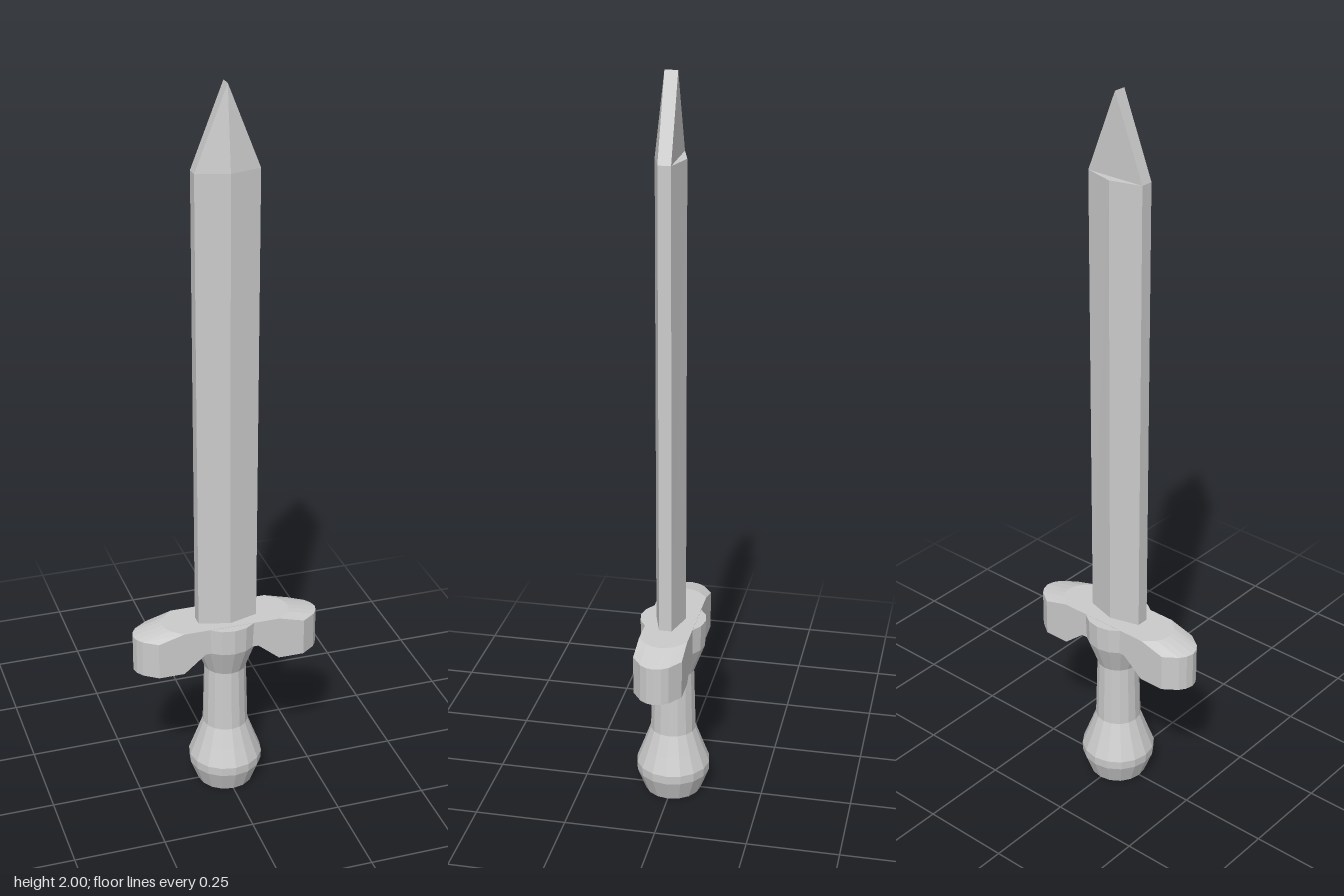
import * as THREE from 'three';

const grey = new THREE.MeshStandardMaterial({ color: 0xcccccc, flatShading: true });

// Mesh from flat polygons, each a convex list of [x, y, z] corners
function polyMesh(name, polys) {
  const pos = [];
  for (const p of polys) {
    for (let i = 1; i < p.length - 1; i++) pos.push(...p[0], ...p[i], ...p[i + 1]);
  }
  const geo = new THREE.BufferGeometry();
  geo.setAttribute('position', new THREE.Float32BufferAttribute(pos, 3));
  geo.computeVertexNormals();
  const mesh = new THREE.Mesh(geo, grey);
  mesh.name = name;
  return mesh;
}

// Six-sided blade; the back ridge stops in a ledge below the tip
function makeBlade() {
  const ring = (y, w) => [
    [-w, y, 0.022], [0, y, 0.047], [w, y, 0.022],
    [w, y, -0.012], [0, y, -0.035], [-w, y, -0.012],
  ];
  const low = ring(0.5, 0.082), top = ring(1.785, 0.085);
  const tipF = [0, 2, 0.022], tipB = [0, 2, -0.012];
  const polys = low.map((p, i) => {
    const j = (i + 1) % 6;
    return [p, low[j], top[j], top[i]];
  });
  polys.push(
    [top[3], top[4], top[5]],
    [top[0], top[1], tipF],
    [top[1], top[2], tipF],
    [top[2], top[3], tipB, tipF],
    [top[3], top[5], tipB],
    [top[5], top[0], tipF, tipB],
  );
  return polyMesh('blade', polys);
}

// Crossguard lofted along x, with rounded ends that droop at the top
function makeGuard() {
  const rows = [-0.065, -0.038, -0.02, 0, 0.02, 0.038, 0.065];
  const bulge = [0, 0.038, 0.05, 0.055, 0.05, 0.038, 0];
  const half = [ // x, bulge scale, top y, bottom y
    [0.075, 0, 0.525, 0.45],
    [0.135, 0.8, 0.525, 0.4],
    [0.206, 1, 0.505, 0.4],
  ];
  const section = (s, [x, k, yt, yb]) => {
    const row = (y) => rows.map((z, i) => [s * (x + k * bulge[i]), y, z]);
    return [...row(yt), ...row(yb).reverse()];
  };
  const secs = [
    ...half.map((h) => section(-1, h)).reverse(),
    ...half.map((h) => section(1, h)),
  ];
  const n = rows.length * 2;
  const polys = [];
  for (let s = 0; s < secs.length - 1; s++) {
    const a = secs[s], b = secs[s + 1];
    for (let i = 0; i < n; i++) {
      const j = (i + 1) % n;
      polys.push([a[i], a[j], b[j]], [a[i], b[j], b[i]]);
    }
  }
  // Rounded end walls
  const first = secs[0], last = secs[secs.length - 1];
  for (let i = 0; i < rows.length - 1; i++) {
    const quad = (r) => [r[i], r[i + 1], r[n - 2 - i], r[n - 1 - i]];
    polys.push(quad(last), quad(first).reverse());
  }
  return polyMesh('crossguard', polys);
}

function makeLathe(name, profile) {
  const pts = profile.map(([r, y]) => new THREE.Vector2(r, y));
  const mesh = new THREE.Mesh(new THREE.LatheGeometry(pts, 16), grey);
  mesh.name = name;
  return mesh;
}

export function createModel() {
  const model = new THREE.Group();
  model.name = 'sword';
  model.add(
    makeBlade(),
    makeGuard(),
    makeLathe('pommel', [[0, 0], [0.078, 0], [0.101, 0.06], [0.102, 0.085], [0.083, 0.135], [0.063, 0.19]]),
    makeLathe('grip', [[0.063, 0.19], [0.058, 0.37]]),
    makeLathe('collar', [[0.058, 0.37], [0.088, 0.45], [0.09, 0.524], [0, 0.524]]),
  );
  return model;
}
